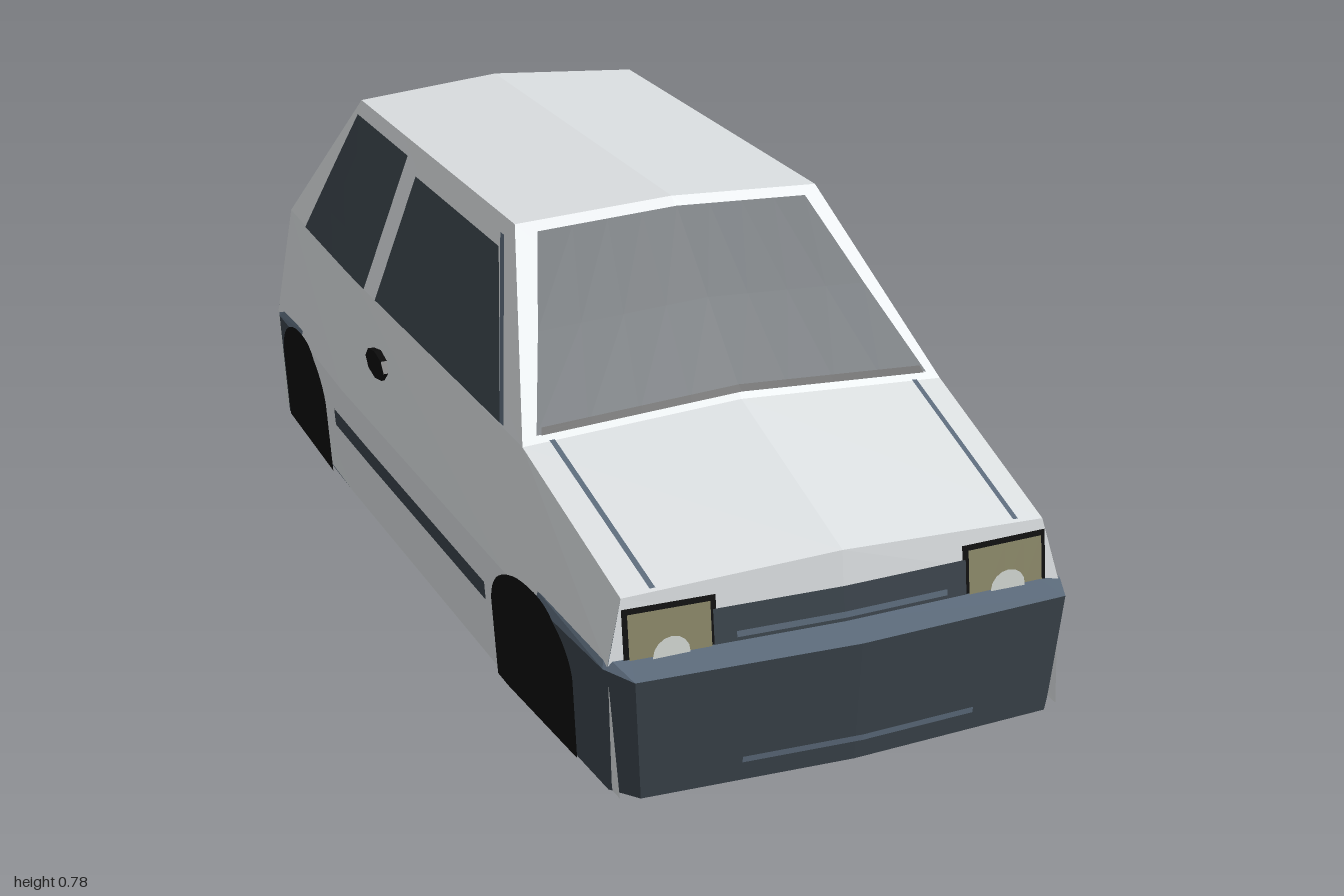
import * as THREE from 'three';

const mat = (name, color) =>
  new THREE.MeshStandardMaterial({ name, color, flatShading: true, side: THREE.DoubleSide });
const lerp = THREE.MathUtils.lerp;

// piecewise linear lookup in a table of [key, value], keys rising
function pw(table, t) {
  if (t <= table[0][0]) return table[0][1];
  for (let i = 1; i < table.length; i++) {
    const [a, va] = table[i - 1], [b, vb] = table[i];
    if (t <= b) return lerp(va, vb, (t - a) / (b - a));
  }
  return table[table.length - 1][1];
}

// body half-width at the sill, bumper line and belt line, along z
const sill = [[-0.93, 0.425], [-0.43, 0.44], [0.5, 0.44], [0.92, 0.42]];
const waist = [[-0.94, 0.438], [-0.43, 0.456], [0.5, 0.456], [0.915, 0.43]];
const belt = [[-0.92, 0.405], [-0.43, 0.418], [0.5, 0.415], [0.9, 0.4]];
const beltY = [[-0.92, 0.465], [0.5, 0.46], [0.9, 0.345]];
const WAIST = 0.23, ROOF = 0.76, ROOF_X = 0.305;

function sideX(y, z) {
  const by = pw(beltY, z);
  if (y <= WAIST) return lerp(pw(sill, z), pw(waist, z), y / WAIST);
  if (y <= by) return lerp(pw(waist, z), pw(belt, z), (y - WAIST) / (by - WAIST));
  return lerp(pw(belt, z), ROOF_X, (y - by) / (ROOF - by));
}

// the two screens: s runs -1..1 across, t runs 0..1 from base to roof
const crown = (s) => 1 - Math.abs(s);
const frontScreen = (s, t) => [s * lerp(0.415, ROOF_X, t),
  lerp(0.46, ROOF, t) + crown(s) * lerp(0.03, 0.02, t), lerp(0.5, 0.19, t) + crown(s) * 0.015];
const rearScreen = (s, t) => [s * lerp(0.405, ROOF_X, t),
  lerp(0.465, ROOF, t) + crown(s) * 0.02, -lerp(0.92, 0.7, t) - crown(s) * 0.017];
const noseZ = (x, y) => 0.915 + 0.015 * crown(x / 0.41) - (y - WAIST) * 0.13;
const tailZ = (x, y) => -0.94 - 0.017 * crown(x / 0.41) + (y - WAIST) * 0.085;

// skin over rows of points
function loft(rows) {
  const pos = [];
  for (let i = 0; i + 1 < rows.length; i++) {
    for (let j = 0; j + 1 < rows[i].length; j++) {
      const a = rows[i][j], b = rows[i][j + 1], c = rows[i + 1][j + 1], d = rows[i + 1][j];
      pos.push(...a, ...b, ...c, ...a, ...c, ...d);
    }
  }
  const g = new THREE.BufferGeometry();
  g.setAttribute('position', new THREE.Float32BufferAttribute(pos, 3));
  g.computeVertexNormals();
  return g;
}

// grid patch from fn(u, v)
function patch(nu, nv, fn) {
  const rows = [];
  for (let i = 0; i <= nv; i++) {
    rows.push([]);
    for (let j = 0; j <= nu; j++) rows[i].push(fn(j / nu, i / nv));
  }
  return loft(rows);
}

export function createModel() {
  const car = new THREE.Group();
  car.name = 'car';
  const paint = mat('bodyPaint', 0xdadee0);
  const dark = mat('darkPlastic', 0x3a434b);
  const glass = mat('glass', 0x3b444b);
  const slate = mat('slateTrim', 0x5b6a7a);
  const black = mat('black', 0x0b0b0b);
  const amber = mat('lampSurround', 0x8a8768);
  const lamp = mat('lampLens', 0xd8dcd8);
  const add = (name, geo, m) => {
    const mesh = new THREE.Mesh(geo, m);
    mesh.name = name;
    car.add(mesh);
    return mesh;
  };

  // body sides
  const stations = [0.9, 0.5, -0.43, -0.92];
  const roofZ = [0.19, -0.43, -0.7];
  const endZ = (z, y) => z === 0.9 ? noseZ(0.41, y) : z === -0.92 ? tailZ(0.41, y) : z;
  for (const s of [1, -1]) {
    const rows = [0, WAIST].map((y) => stations.map((z) => [s * sideX(y, z), y, endZ(z, y)]));
    rows.push(stations.map((z) => [s * pw(belt, z), pw(beltY, z), z]));
    add('bodySide', loft(rows), paint);
    add('cabinSide', loft([rows[2].slice(1), roofZ.map((z) => [s * ROOF_X, ROOF, z])]), paint);
  }

  // nose, bonnet, screens, roof and tail
  const across = (x, y, z, dy, dz) => [[x, y, z], [0, y + dy, z + dz], [-x, y, z]];
  const hoodEdge = across(0.4, 0.345, 0.9, 0.02, 0.015);
  add('nose', loft([across(0.421, 0, 0.915, 0, 0.015), across(0.43, WAIST, 0.915, 0, 0.015), hoodEdge]), paint);
  const span = (fn, t) => [1, 0, -1].map((s) => fn(s, t));
  add('bonnet', loft([hoodEdge, span(frontScreen, 0)]), paint);
  add('windscreenFrame', loft([span(frontScreen, 0), span(frontScreen, 1)]), paint);
  add('roof', loft([span(frontScreen, 1), span(rearScreen, 1)]), paint);
  add('hatchFrame', loft([span(rearScreen, 1), span(rearScreen, 0)]), paint);
  add('tail', loft([span(rearScreen, 0), across(0.438, WAIST, -0.94, 0, -0.017),
    across(0.425, 0, -0.935, 0, -0.017)]), paint);

  // bumpers wrap round the corners, with a sloping trim along the top
  const mirrorRow = (half) => [...half, ...half.slice(0, -1).reverse().map(([x, y, z]) => [-x, y, z])];
  function bumper(name, dir, wrapZ, faceX, faceZ, tipZ, bodyZ) {
    const ring = (y, lean) => mirrorRow([
      [sideX(y, wrapZ) + 0.004, y, wrapZ],
      [sideX(y, dir * 0.9) + 0.006, y, dir * 0.91],
      [faceX - lean, y, dir * (faceZ - lean)], [0, y, dir * (tipZ - lean)]]);
    const low = ring(0, 0.018), high = ring(0.228, 0);
    const inner = mirrorRow([[sideX(0.25, wrapZ) + 0.001, 0.25, wrapZ],
      [sideX(0.25, dir * 0.89), 0.245, dir * 0.89],
      [faceX - 0.02, 0.24, dir * (bodyZ - 0.015)], [0, 0.24, dir * bodyZ]]);
    add(name, loft([low, high]), dark);
    add(name + 'Trim', loft([high, inner]), slate);
    return low;
  }
  const lowFront = bumper('frontBumper', 1, 0.64, 0.407, 0.977, 0.998, 0.93);
  const lowRear = bumper('rearBumper', -1, -0.74, 0.425, 0.982, 1.0, 0.957);

  // flat floor
  const half = (row) => row.slice(0, 4);
  const edge = [...half(lowFront).reverse(), [0.44, 0, 0.5], [0.44, 0, -0.43], ...half(lowRear)];
  add('floor', loft([edge, edge.map(([x, y, z]) => [-x, y, z])]), dark);

  // plates laid on the sides: corners are [z, y], in order round the quad
  function sidePlate(name, m, [a, b, c, d], lift, nu = 4) {
    for (const s of [1, -1]) {
      add(name, patch(nu, 4, (u, v) => {
        const z = lerp(lerp(a[0], b[0], u), lerp(d[0], c[0], u), v);
        const y = lerp(lerp(a[1], b[1], u), lerp(d[1], c[1], u), v);
        return [s * (sideX(y, z) + lift), y, z];
      }), m);
    }
  }
  sidePlate('frontSideWindow', glass, [[0.395, 0.467], [-0.295, 0.467], [-0.295, 0.713], [0.165, 0.713]], 0.005);
  sidePlate('pillarTrim', slate, [[0.412, 0.467], [0.392, 0.467], [0.15, 0.735], [0.17, 0.735]], 0.004);
  sidePlate('rearSideWindow', glass, [[-0.365, 0.467], [-0.79, 0.467], [-0.685, 0.735], [-0.365, 0.735]], 0.005);
  sidePlate('rubStrip', dark, [[0.41, 0.132], [-0.485, 0.132], [-0.485, 0.168], [0.41, 0.168]], 0.007);

  for (const s of [1, -1]) {
    // door handle
    const handle = new THREE.CylinderGeometry(0.03, 0.03, 0.016, 8).rotateZ(Math.PI / 2).scale(1, 0.95, 1.9);
    add('doorHandle', handle, black).position.set(s * (sideX(0.355, -0.235) + 0.002), 0.355, -0.235);
    // wheel arches
    for (const zc of [0.62, -0.72]) {
      add('wheelArch', patch(24, 8, (u, v) => {
        const k = -Math.cos(u * Math.PI);
        const z = zc + k * 0.172;
        const y = v * (0.15 + 0.1 * Math.pow(Math.max(0, 1 - Math.abs(k) ** 2.4), 0.6));
        return [s * (sideX(y, z) + 0.009), y, z];
      }), black);
    }
  }

  // front and rear glass, and the wiper strip
  const screen = (name, m, fn, s0, s1, t0, t1, dz, dy = 0.005) => add(name, patch(8, 2, (u, v) => {
    const p = fn((u * 2 - 1) * lerp(s0, s1, v), lerp(t0, t1, v));
    return [p[0], p[1] + dy, p[2] + dz];
  }), m);
  screen('windscreen', glass, frontScreen, 0.94, 0.87, 0.03, 0.94, 0.005);
  screen('wiperStrip', black, frontScreen, 0.92, 0.92, 0.025, 0.06, 0.008, 0.007);
  screen('rearWindow', glass, rearScreen, 0.89, 0.92, 0.06, 0.9, -0.005);

  // plates on the nose and tail
  const endPlate = (name, m, zAt, x0, x1, y0, y1, lift) => add(name, patch(4, 1, (u, v) => {
    const x = lerp(x0, x1, u), y = lerp(y0, y1, v);
    return [x, y, zAt(x, y) + lift];
  }), m);
  endPlate('grille', dark, noseZ, -0.24, 0.24, 0.235, 0.302, 0.004);
  endPlate('grilleBar', slate, noseZ, -0.2, 0.2, 0.247, 0.258, 0.007);
  endPlate('bumperBar', slate, (x, y) => 0.98 + y * 0.079 + 0.021 * crown(x / 0.4), -0.22, 0.22, 0.05, 0.061, 0.003);
  for (const s of [1, -1]) {
    endPlate('headlightRim', black, noseZ, s * 0.234, s * 0.402, 0.235, 0.327, 0.003);
    endPlate('headlight', amber, noseZ, s * 0.245, s * 0.393, 0.238, 0.318, 0.006);
    const lens = new THREE.CircleGeometry(0.034, 16);
    add('headlightLens', lens, lamp).position.set(s * 0.32, 0.24, 0.928);
    endPlate('rearLight', amber, tailZ, s * 0.24, s * 0.395, 0.275, 0.352, -0.005);
    // bonnet seams
    add('bonnetSeam', patch(1, 1, (u, v) => {
      const x = lerp(0.344, 0.36, v) + (u - 0.5) * 0.01, c = crown(x / 0.41);
      return [s * x, lerp(0.348, 0.46, v) + 0.024 * c + 0.003, lerp(0.9, 0.5, v) + 0.015 * c];
    }), slate);
  }
  return car;
}
